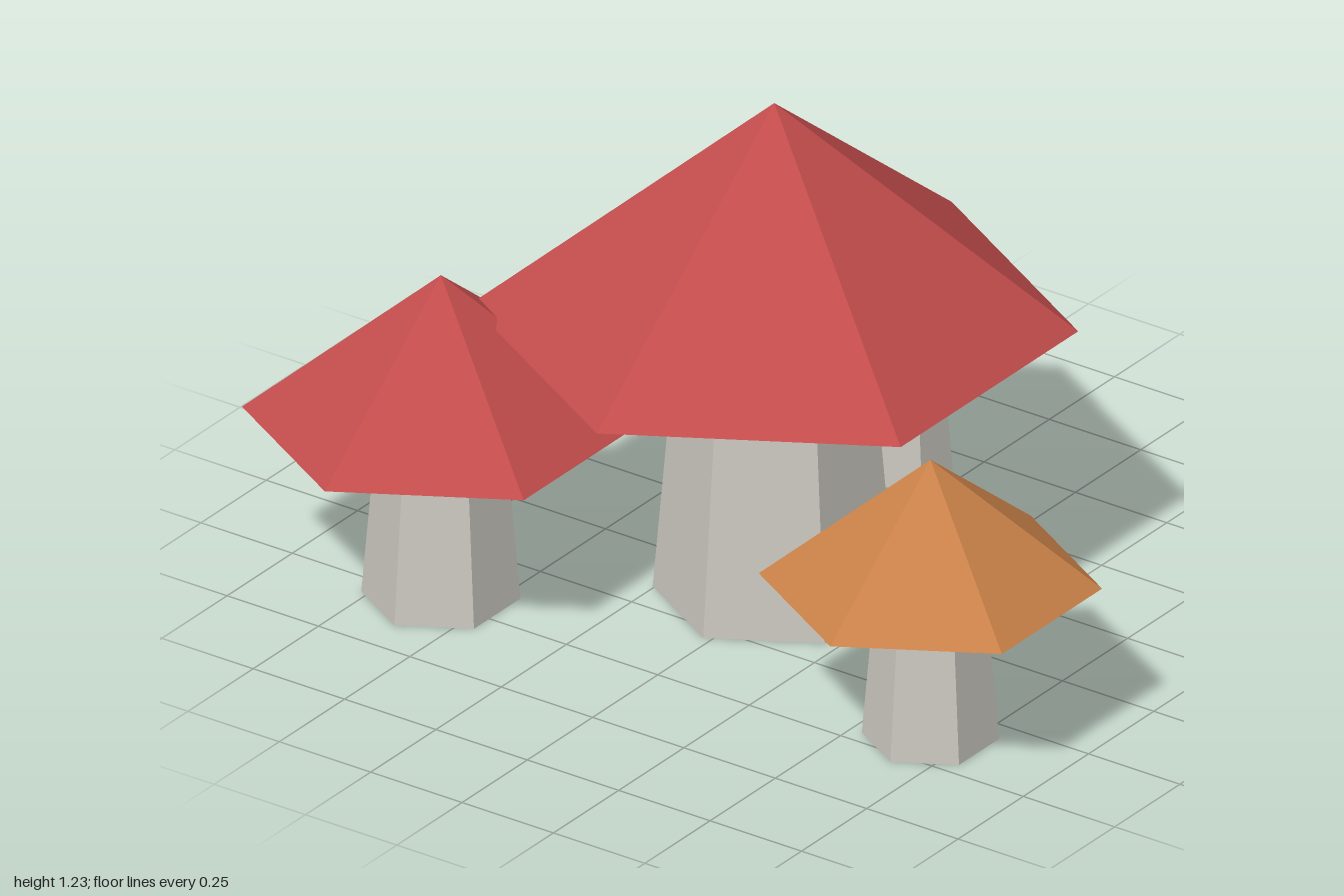
import * as THREE from 'three';

const flat = (name, color) => {
  const m = new THREE.MeshStandardMaterial({ color, flatShading: true });
  m.name = name;
  return m;
};

// One hexagonal mushroom; every dimension scales with the cap radius.
function createMushroom(name, radius, capMaterial, stemMaterial) {
  const mushroom = new THREE.Group();
  mushroom.name = name;
  const stemHeight = radius * 1.014;
  const capHeight = radius * 0.794;

  const stem = new THREE.Mesh(
    new THREE.CylinderGeometry(radius * 0.315, radius * 0.4, stemHeight, 6), stemMaterial);
  stem.name = 'stem';
  stem.position.y = stemHeight / 2;

  const cap = new THREE.Mesh(new THREE.ConeGeometry(radius, capHeight, 6), capMaterial);
  cap.name = 'cap';
  cap.position.y = stemHeight + capHeight / 2;

  mushroom.add(stem, cap);
  return mushroom;
}

export function createModel() {
  const model = new THREE.Group();
  model.name = 'mushroomCluster';

  const stemGrey = flat('stemGrey', 0xcac7be);
  const red = flat('capRed', 0xc24c4c);
  const orange = flat('capOrange', 0xc98149);
  const yellow = flat('capYellow', 0xbf9a49);

  // name, cap radius, x, z, cap colour
  const cluster = [
    ['largeMushroom', 0.68, -0.02, 0.026, red],
    ['mediumMushroom', 0.445, -0.615, 0.47, red],
    ['smallMushroom', 0.384, 0.663, 0.384, orange],
    ['tinyMushroom', 0.297, -0.14, -0.623, yellow],
  ];
  for (const [name, radius, x, z, capMaterial] of cluster) {
    const mushroom = createMushroom(name, radius, capMaterial, stemGrey);
    mushroom.position.set(x, 0, z);
    model.add(mushroom);
  }
  return model;
}
